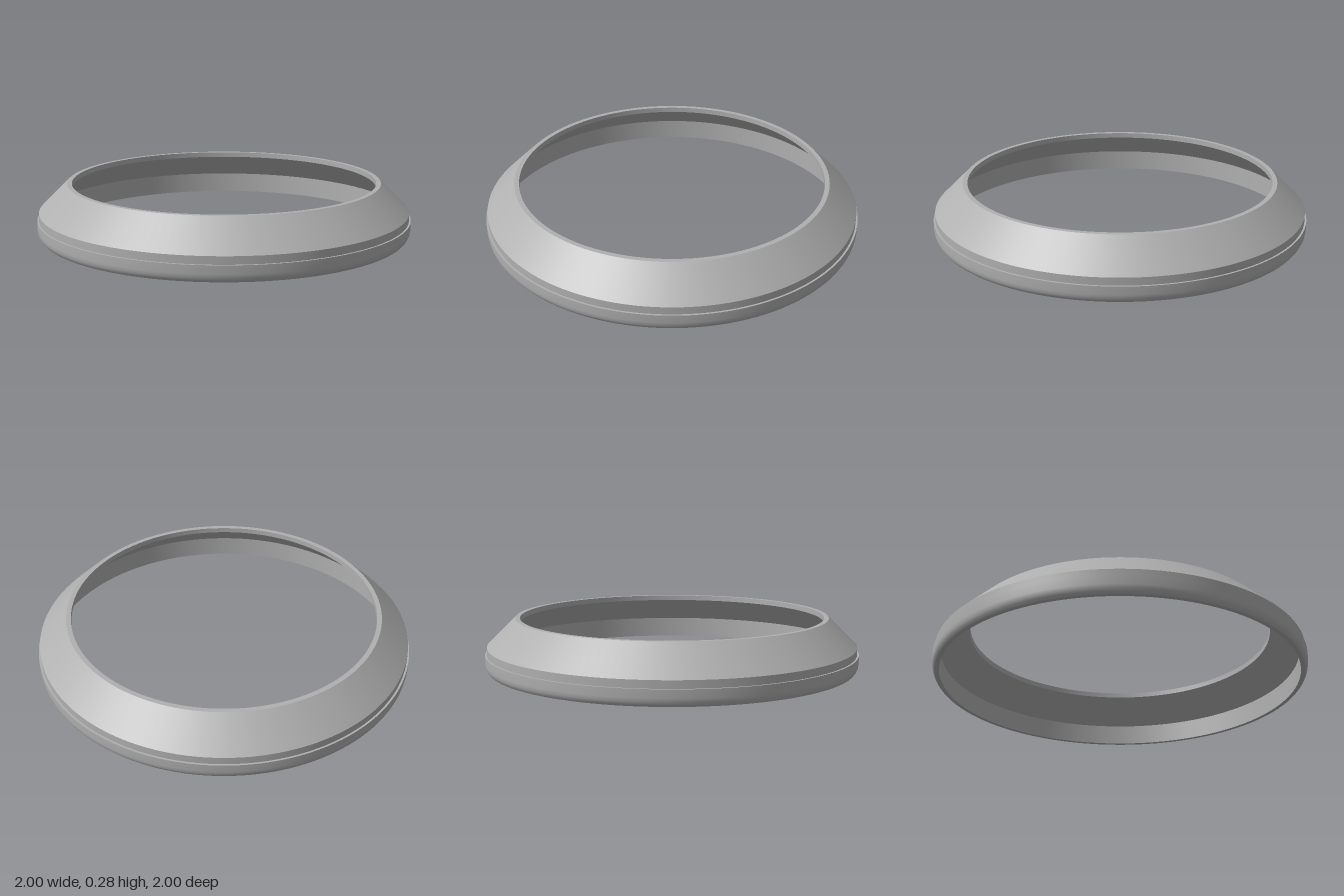
import * as THREE from 'three';

const SEGMENTS = 128;

// Each strip is one smooth run of the cross-section [radius, height];
// strips meet at sharp edges. Order: up the outside, down the inside.
const strips = {
  roundedBaseBand: [[0.983, 0], [0.991, 0.01], [0.997, 0.023], [1, 0.042], [1, 0.085]],
  baseStep: [[1, 0.085], [0.99, 0.085]],
  collar: [[0.99, 0.085], [0.99, 0.125]],
  outerCone: [[0.99, 0.125], [0.838, 0.275]],
  topRim: [[0.838, 0.275], [0.813, 0.275]],
  innerLip: [[0.813, 0.275], [0.813, 0.247]],
  innerCone: [[0.813, 0.247], [0.96, 0.113]],
  innerWall: [[0.96, 0.113], [0.96, 0]],
  bottomRim: [[0.96, 0], [0.983, 0]],
};

export function createModel() {
  const ring = new THREE.Group();
  ring.name = 'bezelRing';

  const grey = new THREE.MeshStandardMaterial({ color: 0xb0b0b0 });
  grey.name = 'grey';

  for (const [name, profile] of Object.entries(strips)) {
    const points = profile.map(([r, y]) => new THREE.Vector2(r, y));
    const mesh = new THREE.Mesh(new THREE.LatheGeometry(points, SEGMENTS), grey);
    mesh.name = name;
    ring.add(mesh);
  }
  return ring;
}
